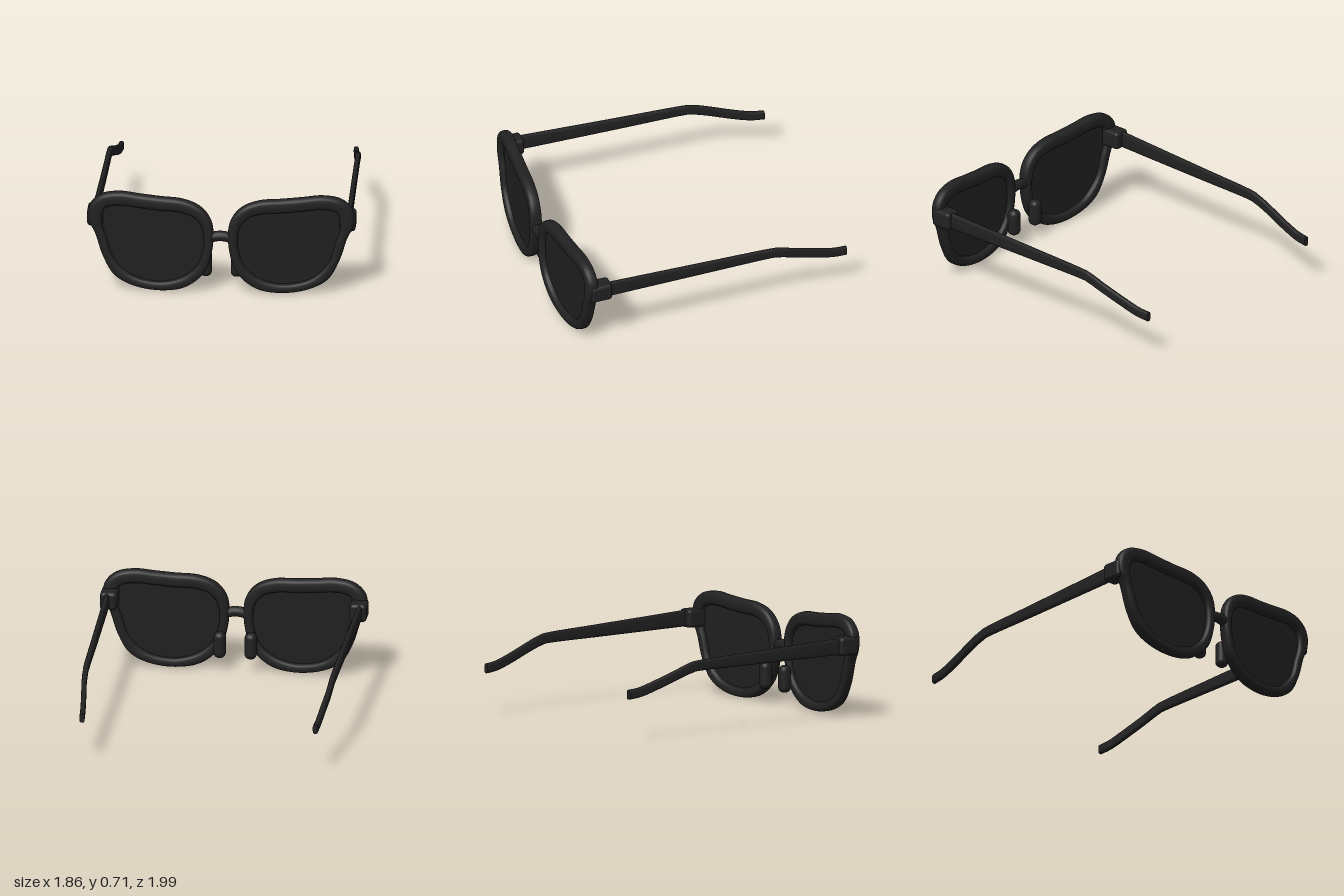
import * as THREE from 'three';
import { RoundedBoxGeometry } from 'three/addons/geometries/RoundedBoxGeometry.js';

const V = (x, y, z = 0) => new THREE.Vector3(x, y, z);
const curve = (pts, closed) => new THREE.CatmullRomCurve3(pts.map(p => V(...p)), closed, 'catmullrom', 0.5);

// Skin a list of cross-section rings; either closed into a loop or capped at both ends
function loft(rings, closed) {
  const n = rings.length, m = rings[0].length;
  const pos = rings.flat().flatMap(p => [p.x, p.y, p.z]);
  const idx = [];
  for (let i = 0; i < (closed ? n : n - 1); i++) {
    for (let j = 0; j < m; j++) {
      const i2 = (i + 1) % n, j2 = (j + 1) % m;
      const a = i * m + j, b = i * m + j2, c = i2 * m + j, d = i2 * m + j2;
      idx.push(a, b, c, b, d, c);
    }
  }
  if (!closed) {
    for (const end of [0, n - 1]) {
      const base = pos.length / 3, mid = V(0, 0);
      rings[end].forEach(p => { pos.push(p.x, p.y, p.z); mid.addScaledVector(p, 1 / m); });
      pos.push(mid.x, mid.y, mid.z);
      for (let j = 0; j < m; j++) {
        const a = base + j, b = base + (j + 1) % m;
        idx.push(base + m, ...(end ? [a, b] : [b, a]));
      }
    }
  }
  const g = new THREE.BufferGeometry();
  g.setAttribute('position', new THREE.Float32BufferAttribute(pos, 3));
  g.setIndex(idx);
  g.computeVertexNormals();
  return g;
}

// Rounded-square cross-section, in unit coordinates
function section(count, power) {
  const f = v => Math.sign(v) * Math.pow(Math.abs(v), power);
  return Array.from({ length: count }, (_, j) => {
    const a = (j / count) * Math.PI * 2;
    return [f(Math.cos(a)), f(Math.sin(a))];
  });
}

// Mirror a geometry across x = 0, keeping its faces outward
function mirrored(geometry) {
  const g = geometry.index ? geometry.toNonIndexed() : geometry.clone();
  g.scale(-1, 1, 1);
  for (const attr of Object.values(g.attributes)) {
    const s = attr.itemSize, a = attr.array;
    for (let i = 0; i < a.length; i += 3 * s) {
      for (let k = 0; k < s; k++) [a[i + k], a[i + s + k]] = [a[i + s + k], a[i + k]];
    }
  }
  return g;
}

// The front sweeps back towards the temples
const sweepZ = x => 0.955 - 0.069 * (x - 0.05);

export function createModel() {
  const frameMat = new THREE.MeshStandardMaterial({ color: 0x212121 });
  frameMat.name = 'black frame';
  const lensMat = new THREE.MeshStandardMaterial({ color: 0x1f1f1f });
  lensMat.name = 'dark lens';
  const model = new THREE.Group();
  model.name = 'sunglasses';

  const add = (name, geometry, material) => {
    const mesh = new THREE.Mesh(geometry, material);
    mesh.name = name;
    model.add(mesh);
  };
  const addPair = (name, geometry, material) => {
    add('left' + name, geometry, material);
    add('right' + name, mirrored(geometry), material);
  };

  // Rim: outer and inner outlines, point for point
  const outer = curve([
    [0.05, 0.44], [0.075, 0.55], [0.15, 0.635], [0.27, 0.68], [0.42, 0.69], [0.56, 0.702],
    [0.70, 0.715], [0.83, 0.69], [0.91, 0.61], [0.915, 0.50], [0.87, 0.40], [0.82, 0.245],
    [0.74, 0.105], [0.60, 0.03], [0.42, 0.005], [0.25, 0.035], [0.12, 0.14], [0.065, 0.28]], true);
  const inner = curve([
    [0.118, 0.41], [0.14, 0.50], [0.20, 0.56], [0.30, 0.588], [0.43, 0.593], [0.56, 0.605],
    [0.70, 0.617], [0.79, 0.60], [0.82, 0.55], [0.82, 0.46], [0.79, 0.37], [0.75, 0.24],
    [0.67, 0.145], [0.57, 0.09], [0.42, 0.07], [0.28, 0.105], [0.18, 0.18], [0.128, 0.29]], true);
  const rimRings = [], rimSection = section(20, 0.7);
  for (let i = 0; i < 108; i++) {
    const o = outer.getPoint(i / 108), n = inner.getPoint(i / 108);
    const mid = o.clone().add(n).multiplyScalar(0.5), half = o.clone().sub(n).multiplyScalar(0.5);
    rimRings.push(rimSection.map(([u, w]) => {
      const p = mid.clone().addScaledVector(half, u);
      p.z = sweepZ(p.x) + 0.042 * w;
      return p;
    }));
  }
  addPair('Rim', loft(rimRings, true), frameMat);

  // Lens: thin plate seated in the rim
  const lensShape = new THREE.Shape(Array.from({ length: 72 }, (_, i) => {
    const p = inner.getPoint(i / 72).lerp(outer.getPoint(i / 72), 0.15);
    return new THREE.Vector2(p.x, p.y);
  }));
  const lens = new THREE.ExtrudeGeometry(lensShape, { depth: 0.012, bevelEnabled: false });
  const lp = lens.attributes.position;
  for (let i = 0; i < lp.count; i++) lp.setZ(i, lp.getZ(i) - 0.006 + sweepZ(lp.getX(i)));
  lens.computeVertexNormals();
  addPair('Lens', lens, lensMat);

  // Bridge: short arched bar between the rims
  const bridgePath = curve([[-0.1, 0.395, 0.953], [-0.05, 0.413, 0.955], [0, 0.42, 0.955],
    [0.05, 0.413, 0.955], [0.1, 0.395, 0.953]], false);
  add('bridge', new THREE.TubeGeometry(bridgePath, 24, 0.036, 16), frameMat);

  // Nose pads
  const pad = new RoundedBoxGeometry(0.085, 0.19, 0.085, 5, 0.038);
  pad.translate(0.108, 0.195, 0.888);
  addPair('NosePad', pad, frameMat);

  // Hinge blocks
  const hinge = new RoundedBoxGeometry(0.118, 0.128, 0.155, 4, 0.025);
  hinge.translate(0.869, 0.517, 0.838);
  addPair('Hinge', hinge, frameMat);

  // Temples: tapering arms, from the drooping tip forward to the hinge
  const armPath = curve([[0.812, 0.325, -1], [0.82, 0.338, -0.9], [0.832, 0.378, -0.77],
    [0.85, 0.435, -0.61], [0.856, 0.472, -0.5], [0.859, 0.487, -0.4], [0.865, 0.497, 0],
    [0.872, 0.507, 0.4], [0.88, 0.518, 0.82]], false);
  const armSection = section(20, 0.6);
  const armRings = Array.from({ length: 65 }, (_, i) => {
    const p = armPath.getPoint(i / 64), t = armPath.getTangent(i / 64);
    const side = V(0, 1, 0).cross(t).normalize(), up = t.clone().cross(side);
    const hh = 0.034 + 0.024 * Math.max(0, (p.z + 0.6) / 1.4);
    return armSection.map(([u, w]) =>
      p.clone().addScaledVector(side, 0.018 * u).addScaledVector(up, hh * w));
  });
  // Keep the cut tip square to the front
  armRings[0].forEach(p => { p.z = -1; });
  addPair('Temple', loft(armRings, false), frameMat);

  return model;
}
